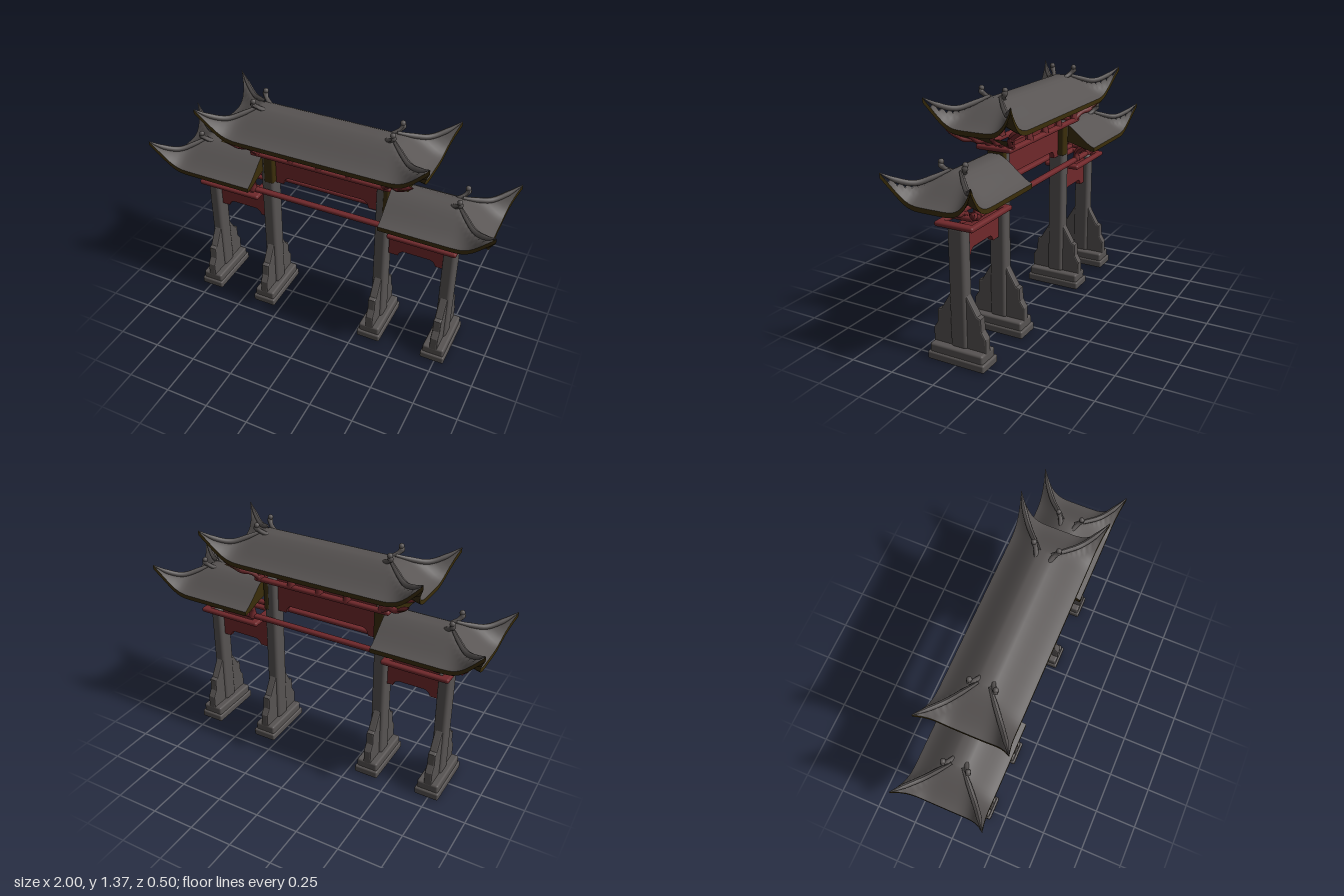
import * as THREE from 'three';
import { RoundedBoxGeometry } from 'three/addons/geometries/RoundedBoxGeometry.js';

const stone = new THREE.MeshStandardMaterial({ color: 0x575352 });
stone.name = 'grey stone';
const red = new THREE.MeshStandardMaterial({ color: 0x70282b, side: THREE.DoubleSide });
red.name = 'red timber';
const olive = new THREE.MeshStandardMaterial({ color: 0x3a2d0a, side: THREE.DoubleSide });
olive.name = 'dark olive timber';

const V = (x, y, z) => new THREE.Vector3(x, y, z);

function add(parent, name, geometry, material, x = 0, y = 0, z = 0) {
  const mesh = new THREE.Mesh(geometry, material);
  mesh.name = name;
  mesh.position.set(x, y, z);
  parent.add(mesh);
  return mesh;
}

const block = (w, h, d, r = 0.008) => new RoundedBoxGeometry(w, h, d, 3, r);

// Tube whose radius follows a short list of values along its length
function taperedTube(points, radii, sides = 8) {
  const curve = new THREE.CatmullRomCurve3(points);
  const n = 16;
  const geo = new THREE.TubeGeometry(curve, n, 1, sides, false);
  const pos = geo.attributes.position;
  const p = V(0, 0, 0);
  for (let i = 0; i < pos.count; i++) {
    const t = Math.floor(i / (sides + 1)) / n;
    const k = Math.min(t * (radii.length - 1), radii.length - 1.0001);
    const a = Math.floor(k);
    const r = THREE.MathUtils.lerp(radii[a], radii[a + 1], k - a);
    const c = curve.getPointAt(t);
    p.fromBufferAttribute(pos, i).sub(c).multiplyScalar(r).add(c);
    pos.setXYZ(i, p.x, p.y, p.z);
  }
  geo.computeVertexNormals();
  return geo;
}

// Surface through a grid of points; rows run along x, columns along z
function gridSurface(rows, faceUp) {
  const m = rows[0].length;
  const index = [];
  for (let i = 0; i + 1 < rows.length; i++) {
    for (let j = 0; j + 1 < m; j++) {
      const a = i * m + j, b = a + m, c = a + 1, d = b + 1;
      if (faceUp) index.push(a, c, b, b, c, d);
      else index.push(a, b, c, b, d, c);
    }
  }
  const geo = new THREE.BufferGeometry().setFromPoints(rows.flat());
  geo.setIndex(index);
  geo.computeVertexNormals();
  return geo;
}

// Curved roof: xe are the eave ends, xr the ridge ends; equal values give a plain cut end
function makeRoof(name, { xe0, xr0, xr1, xe1, ridgeY, height }) {
  const roof = new THREE.Group();
  roof.name = name;
  const W = 0.22, flat = 0.03, N = 10;
  const pointAt = (x, z, top) => {
    const tx = x > xr1 ? (x - xr1) / (xe1 - xr1) : x < xr0 ? (xr0 - x) / (xr0 - xe0) : 0;
    const tz = Math.max(0, (Math.abs(z) - flat) / (W - flat));
    const t = Math.max(tx, tz);
    const ratio = t > 0 ? Math.min(tx, tz) / t : 0;
    const f = 0.5 * t + 0.5 * t * t * (3 - 2 * t);
    const lift = 0.155 * t ** 3 * ratio ** 4;
    const pull = (t * ratio) ** 6;
    const y = top ? ridgeY - height * f : ridgeY - height - 0.025 + 0.35 * height * (1 - f);
    return V(x + Math.sign(x - (xr0 + xr1) / 2) * 0.05 * pull, y + lift, z + Math.sign(z) * 0.027 * pull);
  };
  const xs = [], zs = [];
  if (xe0 !== xr0) for (let i = 0; i < N; i++) xs.push(THREE.MathUtils.lerp(xe0, xr0, i / N));
  for (let i = 0; i <= 8; i++) xs.push(THREE.MathUtils.lerp(xr0, xr1, i / 8));
  if (xe1 !== xr1) for (let i = 1; i <= N; i++) xs.push(THREE.MathUtils.lerp(xr1, xe1, i / N));
  for (let i = -N; i <= N; i++) {
    if (i === 0) zs.push(-flat, 0, flat);
    else zs.push(Math.sign(i) * (flat + (W - flat) * Math.abs(i) / N));
  }
  add(roof, 'roofTiles', gridSurface(xs.map(x => zs.map(z => pointAt(x, z, true))), true), stone);
  add(roof, 'roofUnderside', gridSurface(xs.map(x => zs.map(z => pointAt(x, z, false))), false), olive);

  // Eave edge on all four sides
  const sides = [-W, W].map(z => xs.map(x => [x, z]))
    .concat([xs[0], xs.at(-1)].map(x => zs.map(z => [x, z])));
  for (const side of sides) {
    add(roof, 'eaveEdge', gridSurface(side.map(([x, z]) => [pointAt(x, z, true), pointAt(x, z, false)]), true), olive);
  }

  // Swept hip ridges with a small curled finial at the top of each
  for (const [xr, xe, dir] of [[xr0, xe0, -1], [xr1, xe1, 1]]) {
    if (xr === xe) continue;
    for (const s of [-1, 1]) {
      const path = [0, 0.3, 0.6, 0.85, 1].map(t => {
        const p = pointAt(xr + (xe - xr) * t, s * (flat + (W - flat) * t), true);
        p.y += 0.006 * (1 - t);
        return p;
      });
      add(roof, 'hipRidge', taperedTube(path, [0.008, 0.014, 0.015, 0.014, 0.002]), stone);
      const at = (dx, dy, z) => V(xr + dir * dx, ridgeY + dy, s * z);
      add(roof, 'ridgeFinial', taperedTube(
        [at(-0.03, -0.012, 0.035), at(0, 0.005, 0.05), at(0.02, 0.03, 0.068), at(0.016, 0.054, 0.07)],
        [0.012, 0.013, 0.012, 0.016, 0.003]), stone);
      add(roof, 'finialTip', new THREE.SphereGeometry(0.015, 10, 8), stone, ...at(0.016, 0.045, 0.068).toArray());
    }
  }
  return roof;
}

// Hanging panel with dropped corners
function makePanel(parent, name, x0, x1, y0, y1, drop) {
  const s = new THREE.Shape();
  const c = 0.055;
  s.moveTo(x0, y1);
  s.lineTo(x0, y0);
  s.lineTo(x0 + c, y0);
  s.quadraticCurveTo(x0 + c + 0.01, y0 + drop, x0 + c + 0.04, y0 + drop);
  s.lineTo(x1 - c - 0.04, y0 + drop);
  s.quadraticCurveTo(x1 - c - 0.01, y0 + drop, x1 - c, y0);
  s.lineTo(x1, y0);
  s.lineTo(x1, y1);
  add(parent, name, new THREE.ExtrudeGeometry(s, { depth: 0.03, bevelEnabled: false }), red, 0, 0, -0.015);
}

// Rectangular frame of two long rails and two cross rails
function makeFrame(parent, name, x0, x1, y, half, h) {
  const frame = new THREE.Group();
  frame.name = name;
  for (const s of [-1, 1]) {
    add(frame, 'longRail', block(x1 - x0, h, 0.035, 0.012), red, (x0 + x1) / 2, y, s * (half - 0.0175));
  }
  for (const x of [x0 + 0.025, x1 - 0.025]) {
    add(frame, 'crossRail', block(0.05, h, half * 2, 0.012), red, x, y, 0);
  }
  parent.add(frame);
}

// Fan of brackets that carries a hipped roof end
function makeEndBrackets(parent, dir, xIn, xOut, y, rise, material) {
  const fan = new THREE.Group();
  fan.name = 'endBrackets';
  const at = (t, k, dy = 0) => V(THREE.MathUtils.lerp(xIn, xOut, t), y + rise * t + dy, k * (0.1 + 0.1 * t));
  add(fan, 'bracketBoard', gridSurface([[at(0, -1), at(0, 1)], [at(0.9, -1), at(0.9, 1)]], dir > 0), material);
  for (const k of [-0.9, -0.35, 0.35, 0.9]) {
    add(fan, 'bracketArm', taperedTube(
      [at(0, k), at(0.3, k, 0.006), at(0.55, k, -0.008), at(0.8, k, 0.004), at(1, k, 0.012)],
      [0.02, 0.013, 0.018, 0.011, 0.014, 0.004]), red);
  }
  parent.add(fan);
}

// Posts that lean out from the rail to the eave, front and back
function makePosts(parent, xs, y) {
  for (const x of xs) {
    for (const s of [-1, 1]) {
      add(parent, 'eaveBracket', taperedTube(
        [V(x, y, s * 0.085), V(x, y + 0.05, s * 0.09), V(x, y + 0.085, s * 0.13), V(x, y + 0.11, s * 0.19)],
        [0.024, 0.017, 0.02, 0.018, 0.008]), red);
    }
  }
}

function makePillar(name, x, width, top) {
  const pillar = new THREE.Group();
  pillar.name = name;
  pillar.position.x = x;
  add(pillar, 'baseFoot', block(0.142, 0.045, 0.338, 0.01), stone, 0, 0.0225);
  add(pillar, 'baseTop', block(0.125, 0.055, 0.315, 0.012), stone, 0, 0.0635);
  add(pillar, 'shaft', block(width, top - 0.08, 0.098, 0.02), stone, 0, (top + 0.08) / 2);
  // Stepped clamp stones at front and back
  const half = [[0.15, 0.08], [0.15, 0.16], [0.125, 0.2], [0.122, 0.268], [0.103, 0.275], [0.045, 0.375]];
  const outline = half.concat(half.map(([z, y]) => [-z, y]).reverse()).map(p => new THREE.Vector2(...p));
  const geo = new THREE.ExtrudeGeometry(new THREE.Shape(outline),
    { depth: 0.03, bevelThickness: 0.008, bevelSize: 0.007, bevelSegments: 2 });
  geo.translate(0, 0, -0.015).rotateY(-Math.PI / 2);
  add(pillar, 'clampStones', geo, stone);
  return pillar;
}

export function createModel() {
  const gate = new THREE.Group();
  gate.name = 'gateway';

  gate.add(makePillar('rightOuterPillar', -0.737, 0.07, 0.745));
  gate.add(makePillar('rightInnerPillar', -0.362, 0.078, 1.04));
  gate.add(makePillar('leftInnerPillar', 0.337, 0.074, 1.04));
  gate.add(makePillar('leftOuterPillar', 0.733, 0.07, 0.745));
  // Dark heads of the inner pillars
  add(gate, 'pillarHead', block(0.06, 0.2, 0.104, 0.01), olive, -0.35, 0.935);
  add(gate, 'pillarHead', block(0.034, 0.2, 0.104, 0.01), olive, 0.359, 0.935);

  // Central bay
  makePanel(gate, 'centrePanel', -0.33, 0.305, 0.83, 1.045, 0.045);
  makeFrame(gate, 'upperFrame', -0.43, 0.4, 1.046, 0.105, 0.028);
  makePosts(gate, [-0.385, -0.18, -0.012, 0.165, 0.365], 1.055);
  makeEndBrackets(gate, -1, -0.39, -0.57, 1.06, 0.085, olive);
  makeEndBrackets(gate, 1, 0.365, 0.545, 1.06, 0.085, olive);
  gate.add(makeRoof('upperRoof', { xe0: -0.615, xr0: -0.39, xr1: 0.37, xe1: 0.595, ridgeY: 1.308, height: 0.13 }));

  // Long rails across all bays
  makeFrame(gate, 'lowerFrame', -0.745, 0.76, 0.795, 0.1, 0.028);

  // Side bays
  for (const d of [-1, 1]) {
    const span = (a, b) => (d < 0 ? [-b, -a] : [a, b]);
    makePanel(gate, 'sidePanel', ...span(0.38, 0.71), 0.562, 0.75, 0.035);
    makeFrame(gate, 'sideFrame', ...span(0.395, 0.785), 0.75, 0.112, 0.028);
    makePosts(gate, [d * 0.43, d * 0.588, d * 0.7], 0.79);
    makeEndBrackets(gate, d, d * 0.71, d * 0.9, 0.795, 0.085, red);
    const [xe0, xe1] = span(0.385, 0.95);
    gate.add(makeRoof('sideRoof', {
      xe0, xe1, xr0: d < 0 ? -0.745 : xe0, xr1: d < 0 ? xe1 : 0.745, ridgeY: 1.02, height: 0.128,
    }));
  }
  return gate;
}
